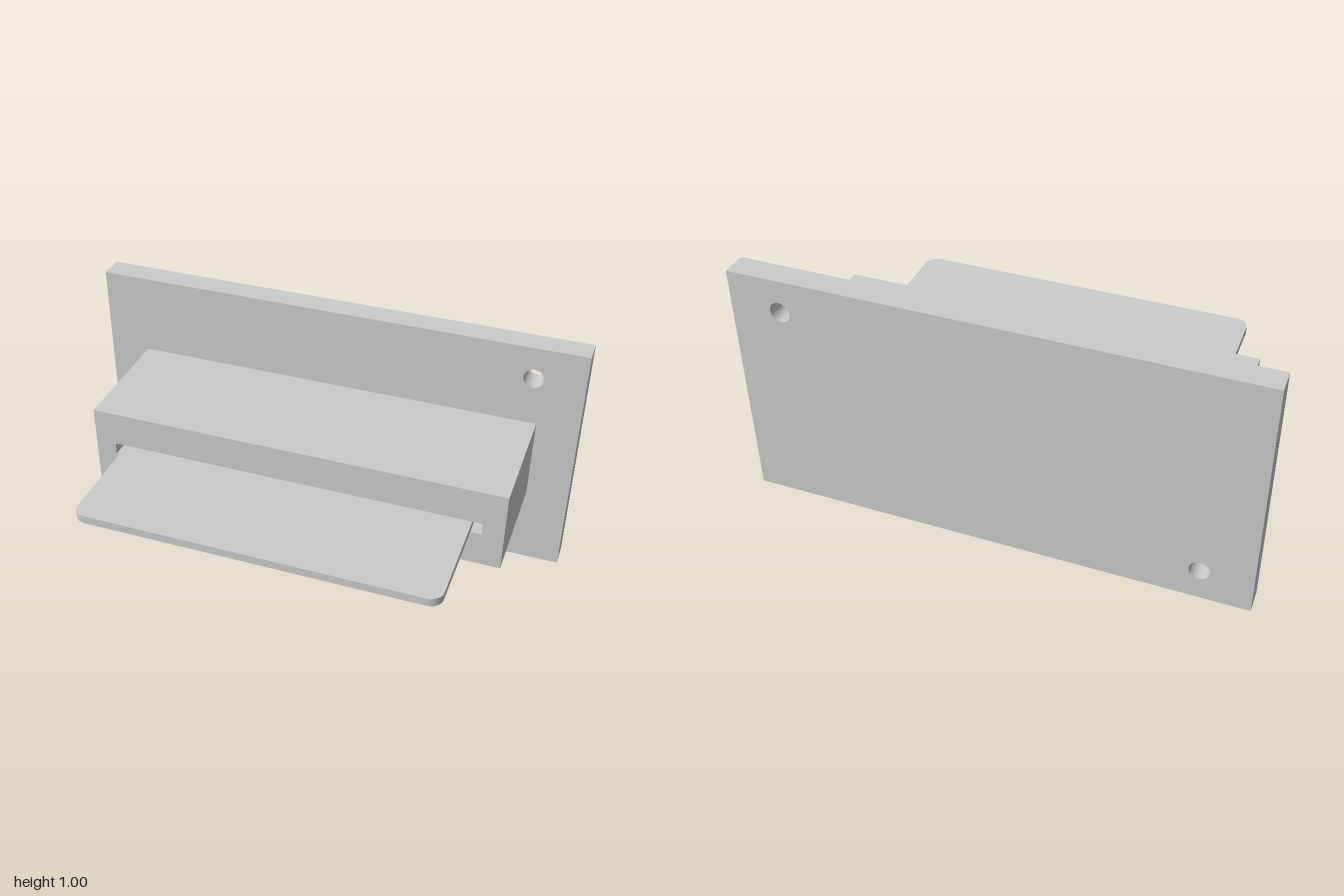
import * as THREE from 'three';

const material = new THREE.MeshStandardMaterial({ color: 0xcccccc });

// Centred rectangle outline with optional rounded corners
function rectangle(w, h, r = 0, Type = THREE.Shape) {
  const x = w / 2, y = h / 2, s = new Type();
  if (r === 0) {
    s.moveTo(-x, -y).lineTo(x, -y).lineTo(x, y).lineTo(-x, y).closePath();
    return s;
  }
  s.moveTo(-x + r, -y).lineTo(x - r, -y);
  s.absarc(x - r, -y + r, r, -Math.PI / 2, 0);
  s.lineTo(x, y - r).absarc(x - r, y - r, r, 0, Math.PI / 2);
  s.lineTo(-x + r, y).absarc(-x + r, y - r, r, Math.PI / 2, Math.PI);
  s.lineTo(-x, -y + r).absarc(-x + r, -y + r, r, Math.PI, Math.PI * 1.5);
  return s;
}

function extruded(name, shape, depth, y, z) {
  const geometry = new THREE.ExtrudeGeometry(shape, { depth, bevelEnabled: false, curveSegments: 24 });
  const mesh = new THREE.Mesh(geometry, material);
  mesh.name = name;
  mesh.position.set(0, y, z);
  return mesh;
}

export function createModel() {
  const group = new THREE.Group();
  group.name = 'cardSlotPanel';

  // Mounting plate with two diagonally opposite screw holes
  const plate = rectangle(2, 1);
  for (const side of [-1, 1]) {
    plate.holes.push(new THREE.Path().absarc(side * 0.8, side * 0.367, 0.04, 0, Math.PI * 2, true));
  }
  group.add(extruded('mountingPlate', plate, 0.1, 0.5, -0.525));

  // Housing with the slot running back to the plate
  const housing = rectangle(1.667, 0.333);
  housing.holes.push(rectangle(1.5, 0.05, 0, THREE.Path));
  group.add(extruded('slotHousing', housing, 0.5, 0.5, -0.425));

  // Flat card, half inserted in the slot
  const card = extruded('card', rectangle(1.417, 0.9, 0.05), 0.033, 0.5165, 0.075);
  card.rotation.x = Math.PI / 2;
  group.add(card);

  return group;
}
